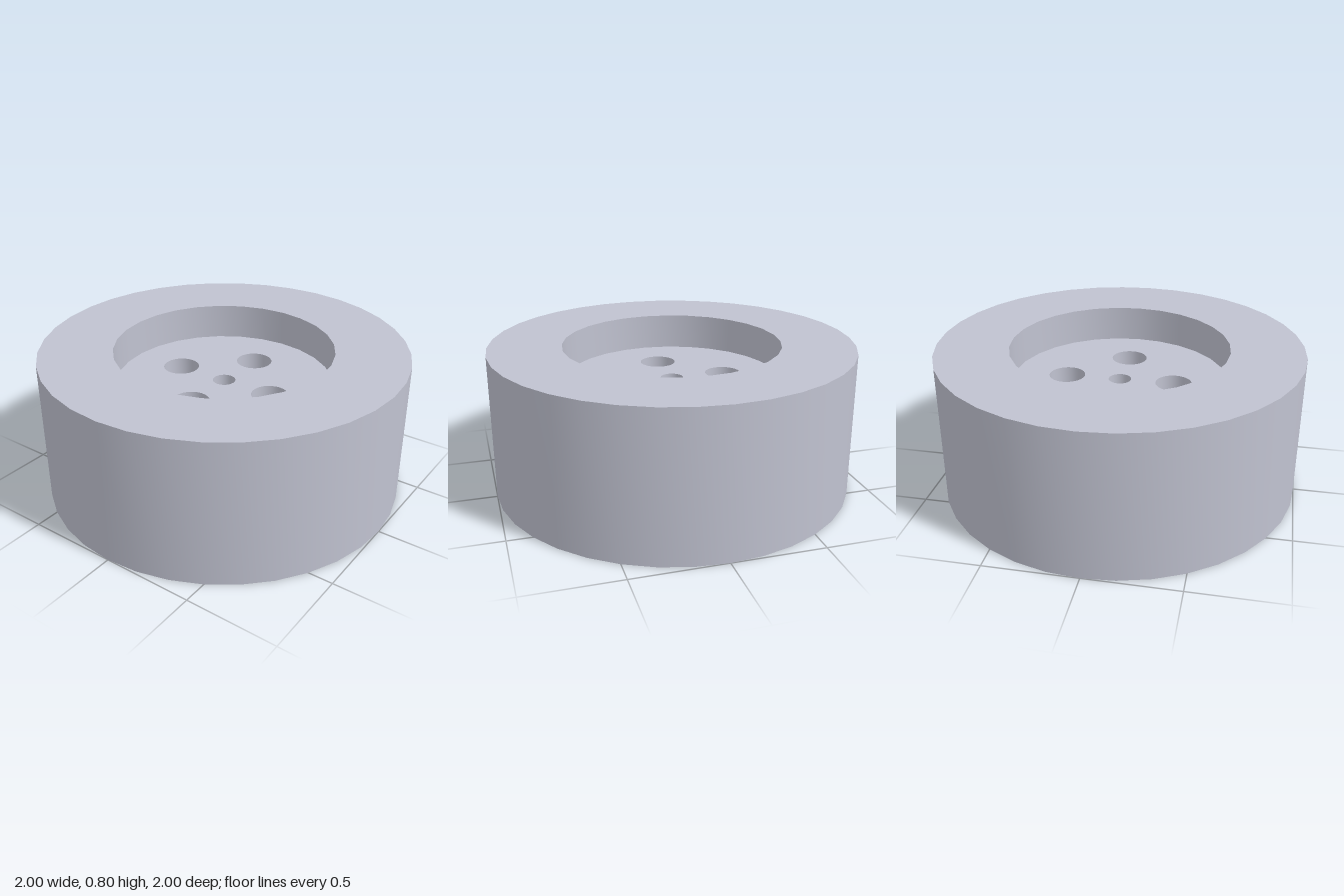
import * as THREE from 'three';
import { toCreasedNormals } from 'three/addons/utils/BufferGeometryUtils.js';

// Points of a regular circle, starting on the x axis
function circle(radius, segments, cx = 0, cy = 0) {
  return Array.from({ length: segments }, (_, i) => {
    const a = (i / segments) * Math.PI * 2;
    return new THREE.Vector2(cx + radius * Math.cos(a), cy + radius * Math.sin(a));
  });
}

// Upright disc with holes, smooth round walls and sharp rims
function disc(name, outline, holes, bottom, height, material) {
  const shape = new THREE.Shape(outline);
  for (const hole of holes) shape.holes.push(new THREE.Path(hole));
  const geometry = new THREE.ExtrudeGeometry(shape, { depth: height, bevelEnabled: false });
  geometry.rotateX(-Math.PI / 2);
  geometry.translate(0, bottom, 0);
  const mesh = new THREE.Mesh(toCreasedNormals(geometry, 0.6), material);
  mesh.name = name;
  return mesh;
}

export function createModel() {
  const group = new THREE.Group();
  group.name = 'wheel';
  const metal = new THREE.MeshStandardMaterial({ color: 0xc0c2d0 });
  metal.name = 'light grey metal';

  // Thick outer rim
  group.add(disc('rim', circle(1, 36), [circle(0.6, 28)], 0, 0.8, metal));

  // Recessed web with an axle hole and four round holes, its edge sunk into the rim
  const holes = [circle(0.0625, 24)];
  for (let i = 0; i < 4; i++) {
    const a = (i * Math.PI) / 2;
    holes.push(circle(0.1, 28, 0.3 * Math.cos(a), 0.3 * Math.sin(a)));
  }
  group.add(disc('web', circle(0.62, 28), holes, 0.2, 0.4, metal));

  return group;
}
